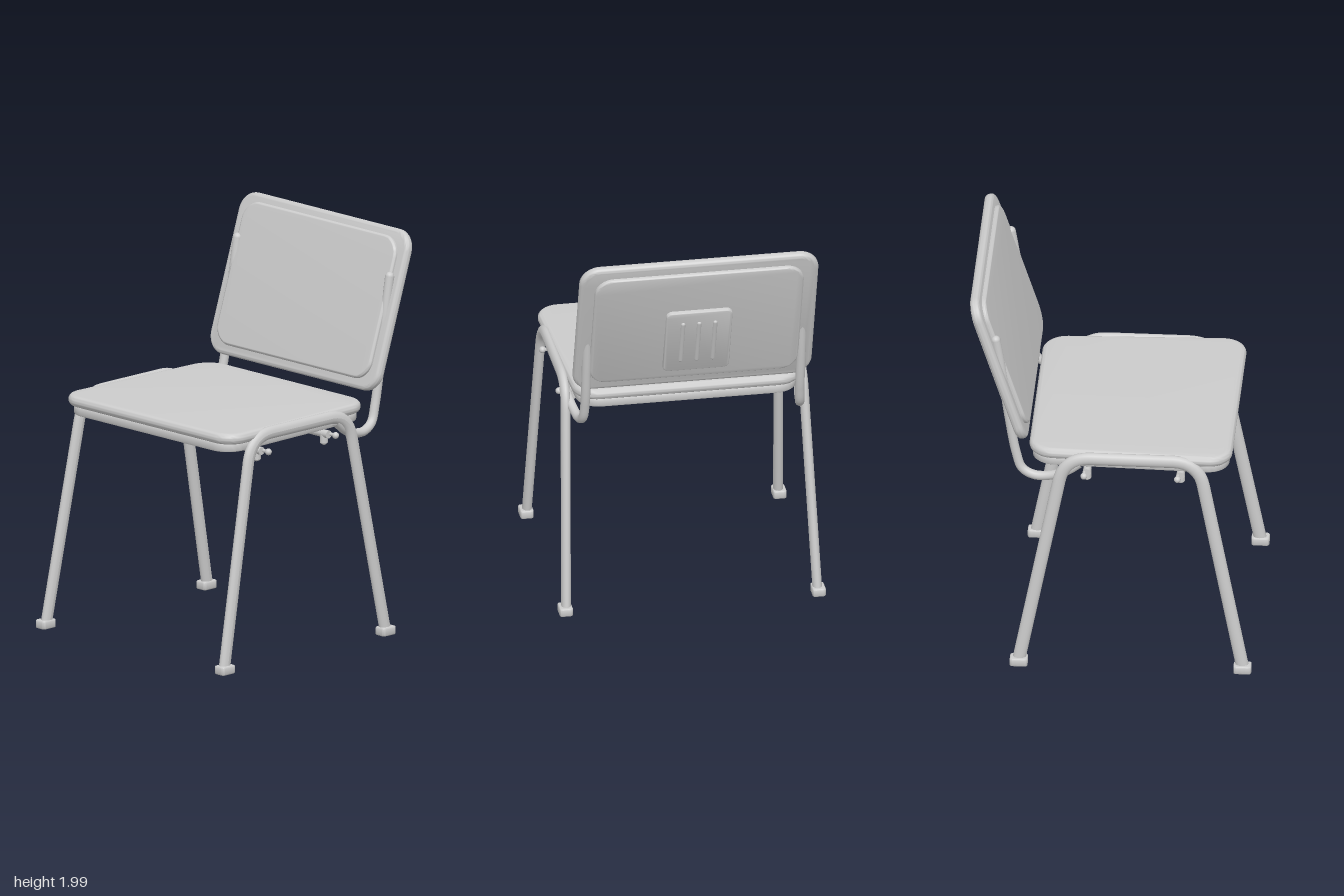
import * as THREE from 'three';
import { toCreasedNormals } from 'three/addons/utils/BufferGeometryUtils.js';

const grey = new THREE.MeshStandardMaterial({ color: 0xcccccc });

function add(parent, name, geometry, x = 0, y = 0, z = 0) {
  const mesh = new THREE.Mesh(geometry, grey);
  mesh.name = name;
  mesh.position.set(x, y, z);
  parent.add(mesh);
  return mesh;
}

// Rounded slab in the XY plane, centred; bottom and top half-widths may differ.
function slab(bottomHalf, topHalf, height, radius, thickness, bevel) {
  const h = height / 2;
  const corners = [[-bottomHalf, -h], [bottomHalf, -h], [topHalf, h], [-topHalf, h]]
    .map(([x, y]) => new THREE.Vector2(x, y));
  const shape = new THREE.Shape();
  corners.forEach((c, i) => {
    const before = corners[(i + 3) % 4], after = corners[(i + 1) % 4];
    const a = c.clone().add(before.clone().sub(c).setLength(radius));
    const b = c.clone().add(after.clone().sub(c).setLength(radius));
    const k = 0.55;
    const c1 = a.clone().lerp(c, k), c2 = b.clone().lerp(c, k);
    if (i === 0) shape.moveTo(a.x, a.y); else shape.lineTo(a.x, a.y);
    shape.bezierCurveTo(c1.x, c1.y, c2.x, c2.y, b.x, b.y);
  });
  shape.closePath();
  const depth = thickness - 2 * bevel;
  const geometry = new THREE.ExtrudeGeometry(shape, {
    depth, bevelThickness: bevel, bevelSize: bevel, bevelOffset: -bevel,
    bevelSegments: 5, curveSegments: 10,
  });
  geometry.translate(0, 0, -depth / 2);
  return toCreasedNormals(geometry, 0.7);
}

// Polyline path with rounded corners.
function roundedPath(points, radius) {
  const path = new THREE.CurvePath();
  let start = points[0];
  for (let i = 1; i < points.length - 1; i++) {
    const p = points[i];
    const a = p.clone().add(points[i - 1].clone().sub(p).setLength(radius));
    const b = p.clone().add(points[i + 1].clone().sub(p).setLength(radius));
    path.add(new THREE.LineCurve3(start, a));
    path.add(new THREE.QuadraticBezierCurve3(a, p, b));
    start = b;
  }
  path.add(new THREE.LineCurve3(start, points[points.length - 1]));
  return path;
}

// Oval-section tube for one side: front leg, seat rail and rear leg, splayed outward.
function legFrame(side) {
  const points = [[0.03, 0.66], [1.157, 0.44], [1.157, -0.22], [0.03, -0.44]]
    .map(([y, z]) => new THREE.Vector3(0, y, z));
  const geometry = new THREE.TubeGeometry(roundedPath(points, 0.13), 110, 0.032, 16);
  const pos = geometry.attributes.position;
  for (let i = 0; i < pos.count; i++) {
    const splay = 0.59 + 0.037 * (1 - pos.getY(i) / 1.157);
    pos.setX(i, pos.getX(i) * 0.75 + side * splay);
  }
  geometry.computeVertexNormals();
  return geometry;
}

export function createModel() {
  const chair = new THREE.Group();
  chair.name = 'chair';

  // Seat pad and the pan below it
  const seat = new THREE.Group();
  seat.name = 'seat';
  chair.add(seat);
  add(seat, 'seatPad', slab(0.605, 0.565, 1.0, 0.12, 0.055, 0.025), 0, 1.159, 0.1).rotation.x = -Math.PI / 2;
  add(seat, 'seatPan', slab(0.575, 0.545, 0.97, 0.11, 0.045, 0.008), 0, 1.112, 0.1).rotation.x = -Math.PI / 2;

  // Backrest, built upright and leaned back
  const back = new THREE.Group();
  back.name = 'backrest';
  back.position.set(0, 1.607, -0.545);
  back.rotation.x = -0.315;
  chair.add(back);
  add(back, 'backShell', slab(0.595, 0.595, 0.812, 0.1, 0.048, 0.02));
  add(back, 'backCushion', slab(0.54, 0.54, 0.72, 0.1, 0.04, 0.012), 0, 0.003, 0.023);
  add(back, 'rearPanel', slab(0.52, 0.52, 0.69, 0.09, 0.04, 0.01), 0, 0.003, -0.024);

  // Small ribbed plate behind the backrest
  add(back, 'rearPlateMount', new THREE.BoxGeometry(0.22, 0.28, 0.04), 0, -0.055, -0.055);
  add(back, 'rearPlate', slab(0.165, 0.165, 0.39, 0.03, 0.026, 0.008), 0, -0.055, -0.08);
  for (const x of [-0.08, 0, 0.08]) {
    add(back, 'plateRib', new THREE.CapsuleGeometry(0.012, 0.24, 4, 12), x, -0.055, -0.09);
  }

  // Side frames with feet and back posts
  for (const side of [-1, 1]) {
    const frame = new THREE.Group();
    frame.name = side > 0 ? 'leftFrame' : 'rightFrame';
    chair.add(frame);
    add(frame, 'legTube', legFrame(side));
    for (const z of [0.66, -0.44]) {
      const foot = slab(0.033, 0.033, 0.088, 0.014, 0.042, 0.006).rotateX(-Math.PI / 2);
      add(frame, 'foot', foot, side * 0.63, 0.026, z);
    }

    const post = new THREE.CatmullRomCurve3([
      [0.585, 1.13, -0.14], [0.575, 1.075, -0.21], [0.56, 1.04, -0.29],
      [0.55, 1.034, -0.37], [0.54, 1.065, -0.43], [0.535, 1.15, -0.46],
      [0.535, 1.35, -0.495], [0.535, 1.6, -0.53], [0.535, 1.78, -0.56],
    ].map(([x, y, z]) => new THREE.Vector3(side * x, y, z)));
    add(frame, 'backPost', new THREE.TubeGeometry(post, 80, 0.023, 14));
    add(frame, 'postCap', new THREE.SphereGeometry(0.023, 14, 10), side * 0.535, 1.78, -0.56);
  }

  // Cross bars under the seat with end clamps and screw knobs
  for (const z of [0.35, -0.11]) {
    add(chair, 'crossBar', new THREE.CylinderGeometry(0.02, 0.02, 1.14, 16).rotateZ(Math.PI / 2), 0, 1.066, z);
    for (const side of [-1, 1]) {
      add(chair, 'barClamp', new THREE.CylinderGeometry(0.02, 0.02, 0.05, 16), side * 0.535, 1.045, z);
      add(chair, 'clampEnd', new THREE.SphereGeometry(0.02, 14, 10), side * 0.535, 1.028, z);
      const pin = new THREE.CylinderGeometry(0.009, 0.009, 0.06, 10).rotateZ(Math.PI / 2);
      add(chair, 'screwPin', pin, side * 0.58, 1.066, z - 0.012);
      add(chair, 'screwKnob', new THREE.SphereGeometry(0.017, 14, 10), side * 0.605, 1.066, z - 0.012);
    }
  }

  return chair;
}
